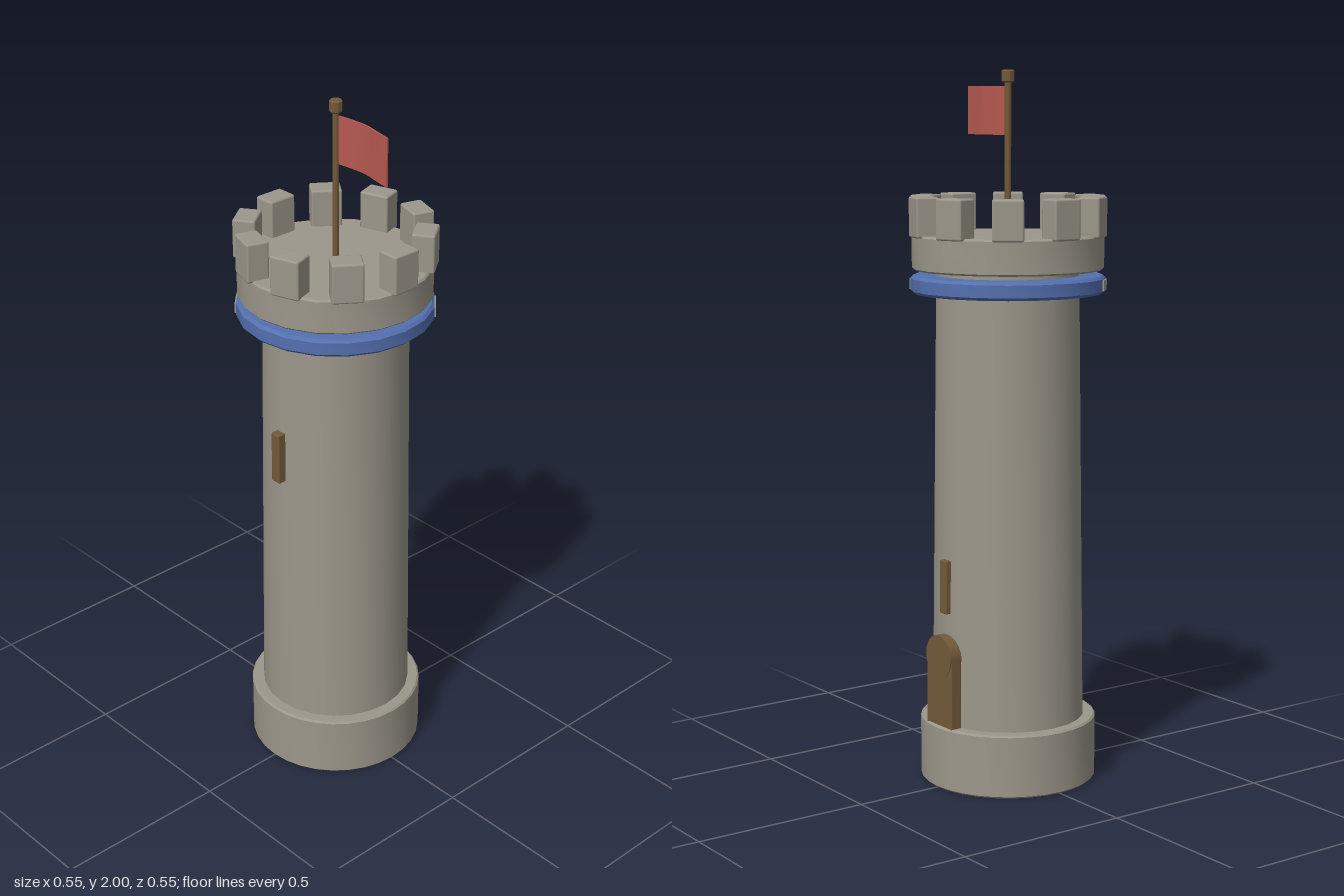
import * as THREE from 'three';
import { toCreasedNormals } from 'three/addons/utils/BufferGeometryUtils.js';
import { RoundedBoxGeometry } from 'three/addons/geometries/RoundedBoxGeometry.js';

export function createModel() {
  const model = new THREE.Group();
  model.name = 'tower';

  const paint = (name, color, side = THREE.FrontSide) => {
    const m = new THREE.MeshStandardMaterial({ color, side });
    m.name = name;
    return m;
  };
  const stone = paint('stone', 0x9c978b);
  const blue = paint('blue trim', 0x5470b0);
  const wood = paint('wood', 0x735a3a);
  const red = paint('flag red', 0xb85a50, THREE.DoubleSide);

  const add = (name, geometry, material, x = 0, y = 0, z = 0, parent = model) => {
    const mesh = new THREE.Mesh(geometry, material);
    mesh.name = name;
    mesh.position.set(x, y, z);
    parent.add(mesh);
    return mesh;
  };

  // Round solid with small bevels, from y0 (radius r0) to y1 (radius r1)
  const drum = (r0, r1, y0, y1, bevel, sides) => {
    const profile = [
      [0, y0], [r0 - bevel, y0], [r0, y0 + bevel],
      [r1, y1 - bevel], [r1 - bevel, y1], [0, y1],
    ].map(([r, y]) => new THREE.Vector2(r, y));
    return toCreasedNormals(new THREE.LatheGeometry(profile, sides), 0.6);
  };

  // Masonry
  add('base', drum(0.25, 0.25, 0, 0.18, 0.005, 32), stone);
  add('shaft', drum(0.217, 0.2, 0.1, 1.48, 0.002, 24), stone);
  add('trimRing', drum(0.272, 0.272, 1.387, 1.437, 0.008, 20), blue);
  add('parapet', drum(0.268, 0.268, 1.452, 1.55, 0.005, 20), stone);

  // Two stone blocks showing through the trim ring
  for (const a of [-Math.PI / 4, Math.PI * 3 / 4]) {
    const block = add('corbel', new THREE.BoxGeometry(0.07, 0.03, 0.06), stone,
      Math.sin(a) * 0.243, 1.411, Math.cos(a) * 0.243);
    block.rotation.y = a;
  }

  // Merlons around the parapet
  const merlons = new THREE.Group();
  merlons.name = 'merlons';
  model.add(merlons);
  const merlonGeometry = new RoundedBoxGeometry(0.064, 0.112, 0.086, 2, 0.006);
  for (let i = 0; i < 10; i++) {
    const a = i * Math.PI / 5;
    const merlon = add('merlon', merlonGeometry, stone,
      Math.cos(a) * 0.243, 1.6, Math.sin(a) * 0.243, merlons);
    merlon.rotation.y = -a;
  }

  // Arrow slits
  const slit = new RoundedBoxGeometry(0.032, 0.152, 0.03, 2, 0.004);
  add('frontSlit', slit, wood, 0, 1.015, 0.212);
  add('backSlit', slit, wood, 0, 0.575, -0.21);

  // Door with a round head
  add('door', new RoundedBoxGeometry(0.122, 0.22, 0.035, 2, 0.004), wood, 0, 0.27, -0.222);
  const head = add('doorHead', new THREE.CylinderGeometry(0.061, 0.061, 0.038, 20), wood, 0, 0.378, -0.222);
  head.rotation.x = Math.PI / 2;

  // Flagpole and finial
  add('flagpole', new THREE.CylinderGeometry(0.009, 0.009, 0.44, 10), wood, 0, 1.765, 0);
  add('finial', drum(0.018, 0.018, 1.965, 2, 0.004, 10), wood);

  // Waving flag: a thin strip bent along a curve
  const flag = new THREE.BoxGeometry(0.2, 0.134, 0.005, 10, 1, 1);
  const wave = new THREE.CatmullRomCurve3([
    new THREE.Vector3(0.007, 0, -0.004), new THREE.Vector3(0.05, 0, -0.008),
    new THREE.Vector3(0.105, 0, -0.009), new THREE.Vector3(0.155, 0, 0.002),
    new THREE.Vector3(0.208, 0, 0.013),
  ]);
  const p = flag.attributes.position;
  for (let i = 0; i < p.count; i++) {
    const c = wave.getPoint(THREE.MathUtils.clamp(p.getX(i) / 0.2 + 0.5, 0, 1));
    p.setXYZ(i, c.x, p.getY(i), c.z + p.getZ(i));
  }
  flag.computeVertexNormals();
  add('flag', flag, red, 0, 1.889, 0);

  return model;
}
